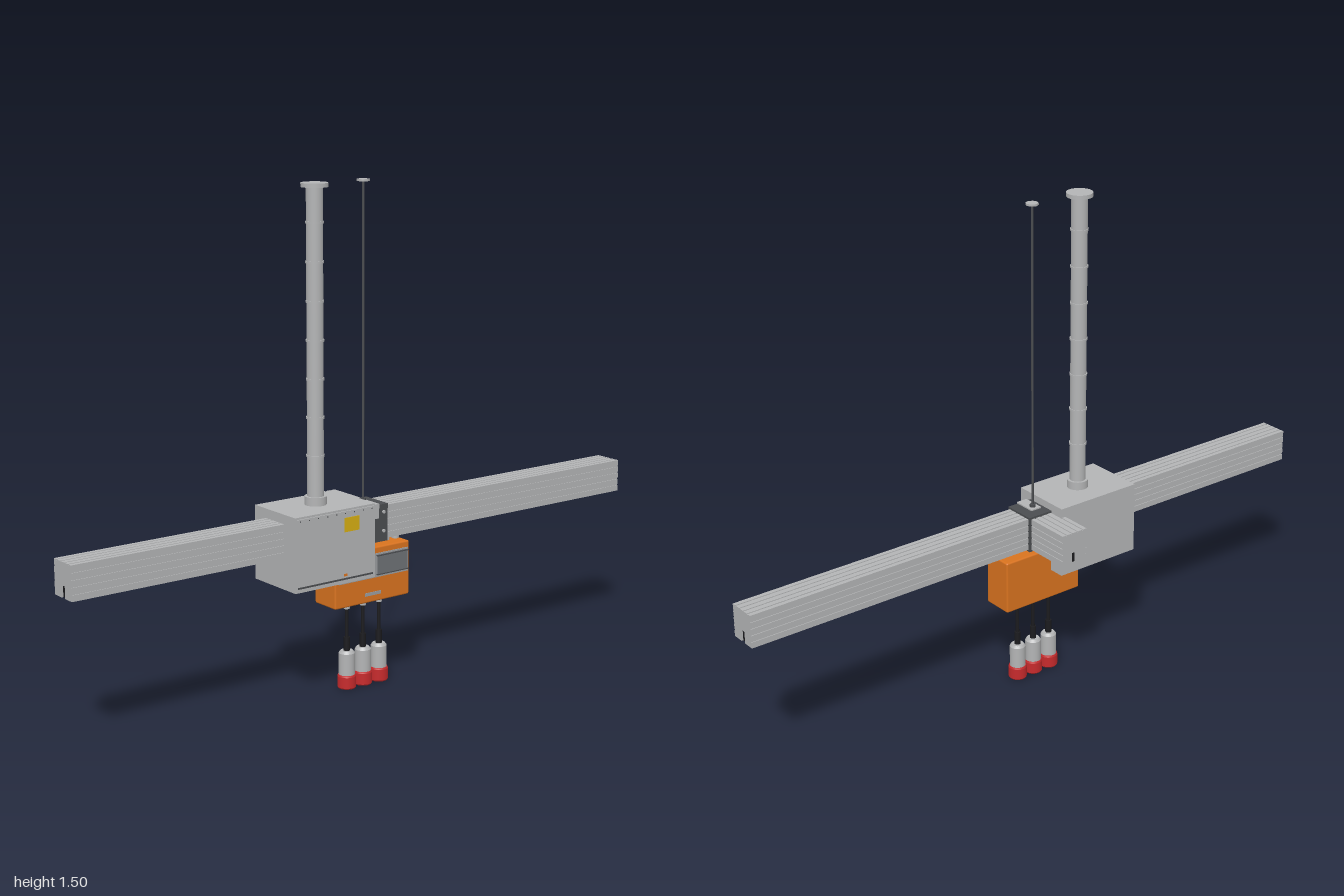
import * as THREE from 'three';
import { RoundedBoxGeometry } from 'three/addons/geometries/RoundedBoxGeometry.js';

const Z = 0.047; // depth of the rail centre line

function material(name, color) {
  const m = new THREE.MeshStandardMaterial({ color });
  m.name = name;
  return m;
}

// Ribbed rail section with an open slot underneath
function railShape() {
  const w = 0.045, h = 0.1, d = 0.0025, g = 0.002;
  const half = [[0.009, 0.036], [0.009, 0], [w, 0]];
  for (const y of [0.02, 0.04, 0.06, 0.08]) {
    half.push([w, y - g], [w - d, y - g], [w - d, y + g], [w, y + g]);
  }
  half.push([w, h]);
  for (const x of [0.03, 0.01]) {
    half.push([x + g, h], [x + g, h - d], [x - g, h - d], [x - g, h]);
  }
  const mirrored = half.map(([x, y]) => [-x, y]).reverse();
  return new THREE.Shape([...half, ...mirrored].map(([x, y]) => new THREE.Vector2(x, y)));
}

function railGeometry(length) {
  return new THREE.ExtrudeGeometry(railShape(), { depth: length, bevelEnabled: false });
}

export function createModel() {
  const root = new THREE.Group();
  root.name = 'suspendedPowerRail';

  const grey = material('light grey', 0xb3b4b5);
  const panelGrey = material('panel grey', 0x9b9da0);
  const screen = material('window grey', 0x6e7175);
  const dark = material('dark grey', 0x4b4d50);
  const black = material('black', 0x1b1b1e);
  const orange = material('orange', 0xd9731f);
  const red = material('red', 0xc62a2c);
  const yellow = material('yellow', 0xd6ae12);

  function add(name, geometry, mat, x = 0, y = 0, z = 0, parent = root) {
    const mesh = new THREE.Mesh(geometry, mat);
    mesh.name = name;
    mesh.position.set(x, y, z);
    parent.add(mesh);
    return mesh;
  }
  // Box given by its lower and upper limits
  function box(name, mat, x0, x1, y0, y1, z0, z1, parent) {
    return add(name, new THREE.BoxGeometry(x1 - x0, y1 - y0, z1 - z0), mat,
      (x0 + x1) / 2, (y0 + y1) / 2, (z0 + z1) / 2, parent);
  }
  // Upright cylinder between two heights
  function post(name, mat, r, y0, y1, x, z = Z, sides = 32, parent = root) {
    return add(name, new THREE.CylinderGeometry(r, r, y1 - y0, sides), mat, x, (y0 + y1) / 2, z, parent);
  }

  // Main rail and short branch to the back
  const rail = add('mainRail', railGeometry(2), grey, -1, 0.449, Z);
  rail.rotation.y = Math.PI / 2;
  add('branchRail', railGeometry(0.16), grey, 0, 0.449, -0.15);

  // Contact strips inside the slots
  const contacts = new THREE.Group();
  contacts.name = 'slotContacts';
  root.add(contacts);
  for (let i = 0; i < 50; i++) {
    const x = -0.98 + i * 0.04;
    box('contact', black, x - 0.015, x + 0.015, 0.4495, 0.48, Z - 0.0088, Z + 0.0088, contacts);
  }
  for (let i = 0; i < 3; i++) {
    const z = -0.125 + i * 0.04;
    box('branchContact', black, -0.0088, 0.0088, 0.4495, 0.48, z - 0.015, z + 0.015, contacts);
  }

  // Dark joint at the crossing, with bolts and hanger bracket
  const joint = new THREE.Group();
  joint.name = 'railJoint';
  root.add(joint);
  box('jointFront', dark, -0.052, 0.052, 0.443, 0.555, 0.091, 0.098, joint);
  box('jointTop', dark, -0.052, 0.052, 0.548, 0.555, -0.004, 0.098, joint);
  box('jointBottom', dark, -0.052, 0.052, 0.443, 0.45, -0.004, 0.098, joint);
  box('jointBack', dark, -0.052, 0.052, 0.443, 0.555, -0.004, 0.003, joint);
  for (const y of [0.475, 0.532]) {
    for (const s of [-1, 1]) {
      const bolt = add('jointBolt', new THREE.CylinderGeometry(0.005, 0.005, 0.004, 12), grey, s * 0.036, y, 0.1, joint);
      bolt.rotation.x = Math.PI / 2;
    }
  }
  box('hangerPlate', grey, -0.018, 0.018, 0.515, 0.557, 0.098, 0.101, joint);
  box('hangerFoot', grey, -0.018, 0.018, 0.555, 0.559, 0.03, 0.101, joint);

  // Thin hanging rod with ceiling disc
  post('hangerRod', dark, 0.0035, 0.555, 1.493, 0, Z, 12);
  post('hangerNut', dark, 0.009, 0.559, 0.568, 0, Z, 6);
  post('hangerDisc', grey, 0.019, 1.491, 1.497, 0, Z, 8);

  // Feed column with rings
  const column = new THREE.Group();
  column.name = 'feedColumn';
  root.add(column);
  const cx = -0.172;
  post('columnPipe', grey, 0.024, 0.575, 1.487, cx, Z, 32, column);
  post('columnCollar', grey, 0.032, 0.575, 0.602, cx, Z, 32, column);
  post('columnFlange', grey, 0.039, 1.484, 1.496, cx, Z, 32, column);
  for (let i = 0; i < 7; i++) {
    const y = 0.72 + i * 0.111;
    post('columnRing', grey, 0.0265, y - 0.003, y + 0.003, cx, Z, 32, column);
  }

  // Feed cabinet with front door
  const cabinet = new THREE.Group();
  cabinet.name = 'feedCabinet';
  root.add(cabinet);
  box('cabinetBody', grey, -0.315, -0.031, 0.357, 0.577, -0.052, 0.144, cabinet);
  box('cabinetDoor', grey, -0.309, -0.037, 0.376, 0.571, 0.144, 0.148, cabinet);
  box('doorGap', dark, -0.307, -0.039, 0.368, 0.373, 0.144, 0.1455, cabinet);
  box('warningPatch', yellow, -0.145, -0.092, 0.51, 0.552, 0.148, 0.1495, cabinet);
  box('indicator', orange, -0.146, -0.136, 0.38, 0.387, 0.148, 0.1495, cabinet);
  for (let i = 0; i < 9; i++) {
    const x = -0.3 + i * 0.0318;
    box('doorScrew', dark, x - 0.0015, x + 0.0015, 0.5635, 0.5665, 0.148, 0.149, cabinet);
  }

  // Orange outlet box hung below the rail
  const outlet = new THREE.Group();
  outlet.name = 'outletBox';
  root.add(outlet);
  add('outletBody', new RoundedBoxGeometry(0.275, 0.165, 0.098, 2, 0.005), orange, -0.002, 0.3465, Z, outlet);
  box('outletPanel', panelGrey, -0.125, 0.128, 0.338, 0.41, 0.095, 0.099, outlet);
  box('panelWindow', screen, 0.014, 0.122, 0.348, 0.402, 0.099, 0.104, outlet);
  box('windowFrame', dark, 0.01, 0.126, 0.402, 0.405, 0.099, 0.105, outlet);
  box('windowSill', dark, 0.01, 0.126, 0.345, 0.348, 0.099, 0.105, outlet);
  box('labelPlate', panelGrey, -0.03, 0.028, 0.285, 0.295, 0.095, 0.0975, outlet);
  for (const s of [-1, 1]) {
    for (const x of [0.086, 0.121]) {
      post('hangerStud', grey, 0.011, 0.426, 0.451, s * x, Z, 20, outlet);
    }
  }

  // Three hanging leads: gland, cable, boot, socket and red cap
  const socketProfile = [[0, 0.038], [0.024, 0.038], [0.024, 0.108], [0.019, 0.115], [0, 0.115]];
  const capProfile = [[0, 0], [0.025, 0], [0.028, 0.004], [0.028, 0.037], [0.026, 0.042], [0, 0.042]];
  // Doubled corner points give crisp edges
  const lathe = (pts) => new THREE.LatheGeometry(
    pts.flatMap(([x, y], i) => (i ? [new THREE.Vector2(x, y), new THREE.Vector2(x, y)] : [new THREE.Vector2(x, y)])), 28);
  for (const x of [-0.06, 0, 0.06]) {
    const lead = new THREE.Group();
    lead.name = 'hangingLead';
    root.add(lead);
    post('gland', grey, 0.012, 0.252, 0.266, x, Z, 16, lead);
    post('glandNut', grey, 0.009, 0.243, 0.252, x, Z, 16, lead);
    post('cable', black, 0.0055, 0.11, 0.245, x, Z, 16, lead);
    post('cableBoot', black, 0.0095, 0.113, 0.156, x, Z, 16, lead);
    add('socket', lathe(socketProfile), grey, x, 0, Z, lead);
    add('redCap', lathe(capProfile), red, x, 0, Z, lead);
  }

  return root;
}
